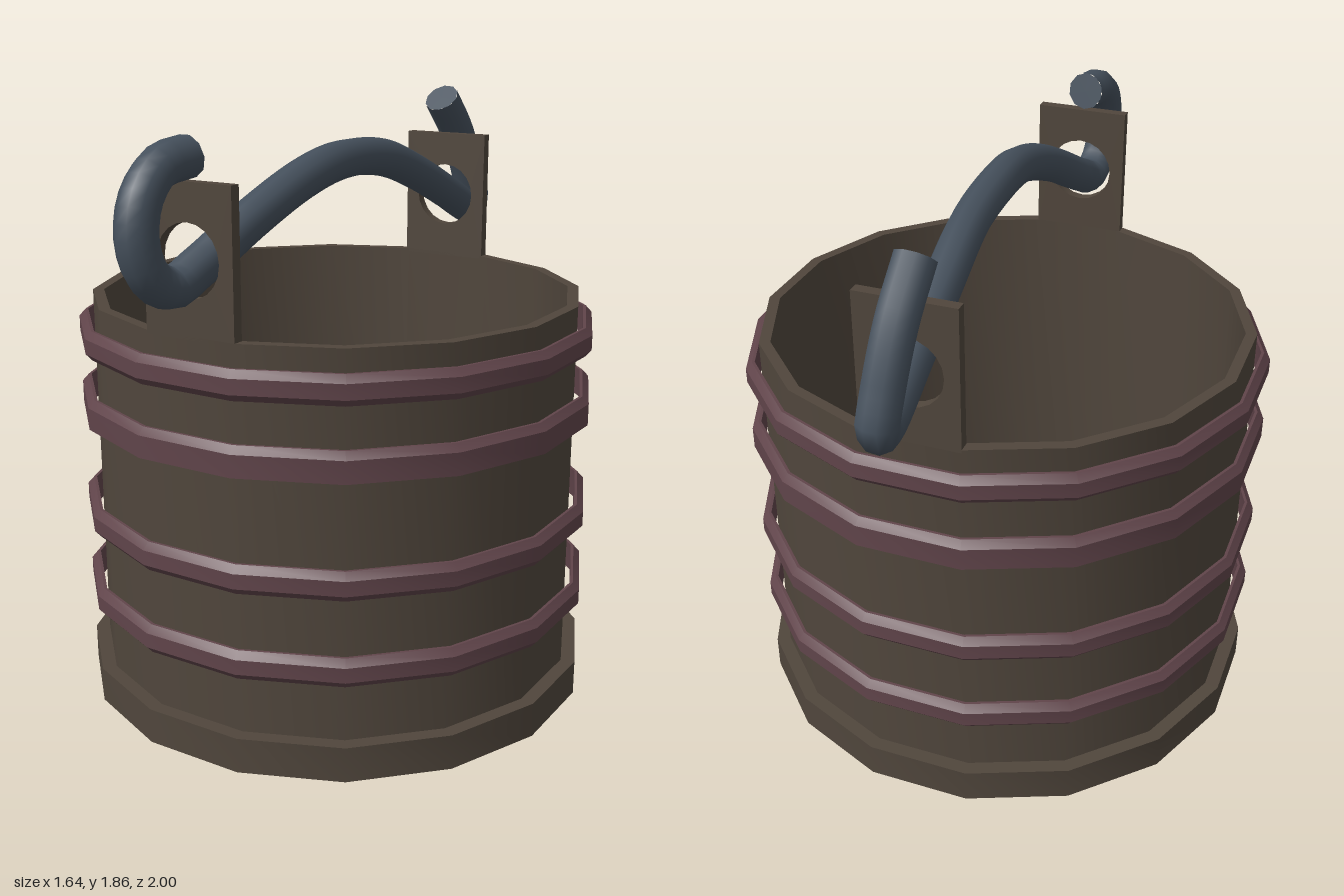
import * as THREE from 'three';
import { toCreasedNormals } from 'three/addons/utils/BufferGeometryUtils.js';

const SIDES = 16;
const wood = new THREE.MeshStandardMaterial({ color: 0x50463c });
const hoop = new THREE.MeshStandardMaterial({ color: 0x60444a });
const iron = new THREE.MeshStandardMaterial({ color: 0x45505c });

function add(parent, name, geometry, material) {
  const mesh = new THREE.Mesh(geometry, material);
  mesh.name = name;
  parent.add(mesh);
  return mesh;
}

// Sixteen-sided turned part, smooth around and sharp across its edges
function turned(profile) {
  const points = profile.map(([r, y]) => new THREE.Vector2(r, y));
  return toCreasedNormals(new THREE.LatheGeometry(points, SIDES), 0.5);
}

export function createModel() {
  const model = new THREE.Group();
  model.name = 'bucket';
  const tub = new THREE.Group();
  tub.name = 'tub';
  tub.position.z = 0.01;
  model.add(tub);

  // Foot, wall and inner floor in one profile
  add(tub, 'wall', turned([
    [0, 0], [0.82, 0], [0.82, 0.11], [0.775, 0.11], [0.775, 1.28],
    [0.74, 1.28], [0.74, 0.11], [0, 0.11],
  ]), wood);

  // Thin hoops standing slightly off the wall: [centre height, lower bevel]
  const bevel = 0.022;
  for (const [y, low] of [[0.34, bevel], [0.605, bevel], [0.957, 0], [1.172, bevel]]) {
    const h = 0.045;
    const lower = low ? [[0.802, y - h], [0.822, y - h + low]] : [[0.822, y - h]];
    add(tub, 'hoop', turned([
      [0.793, y - h], ...lower, [0.822, y + h - bevel], [0.802, y + h],
      [0.793, y + h], [0.793, y - h],
    ]), hoop);
  }

  // Two pierced lugs continuing opposite wall facets upward
  const half = 0.775 * Math.sin(Math.PI / SIDES);
  const thick = 0.035 * Math.cos(Math.PI / SIDES);
  const inner = 0.74 * Math.cos(Math.PI / SIDES);
  const plate = new THREE.Shape([
    new THREE.Vector2(-half, 1.27), new THREE.Vector2(half, 1.27),
    new THREE.Vector2(half, 1.705), new THREE.Vector2(-half, 1.705),
  ]);
  const hole = new THREE.Path();
  hole.absarc(0, 1.49, 0.106, 0, Math.PI * 2, true);
  plate.holes.push(hole);
  const lugShape = new THREE.ExtrudeGeometry(plate, { depth: thick, bevelEnabled: false, curveSegments: 10 });
  lugShape.translate(0, 0, inner);
  const lugGeometry = toCreasedNormals(lugShape, 0.7);
  for (const turn of [0, Math.PI]) {
    add(tub, 'lug', lugGeometry, wood).rotation.y = Math.PI / SIDES + turn;
  }

  // Bent iron handle, from the front hook over the arch to the back hook
  const path = new THREE.CatmullRomCurve3([
    [0.135, 1.77, 0.73], [0.145, 1.75, 0.84], [0.16, 1.67, 0.92],
    [0.168, 1.56, 0.94], [0.17, 1.47, 0.905], [0.165, 1.43, 0.83],
    [0.16, 1.47, 0.73], [0.155, 1.58, 0.52], [0.12, 1.665, 0.28],
    [0.06, 1.695, 0.05], [0, 1.675, -0.2], [-0.07, 1.6, -0.45],
    [-0.135, 1.5, -0.7], [-0.185, 1.42, -0.9], [-0.198, 1.435, -0.938],
    [-0.2, 1.55, -0.905], [-0.195, 1.7, -0.83], [-0.18, 1.825, -0.72],
  ].map((p) => new THREE.Vector3(...p)), false, 'centripetal');
  const handle = new THREE.Group();
  handle.name = 'handle';
  model.add(handle);
  const radius = 0.06;
  add(handle, 'bar', new THREE.TubeGeometry(path, 80, radius, 10), iron);

  // Flat ends of the bar
  for (const [t, out] of [[0, -1], [1, 1]]) {
    const cap = add(handle, 'barEnd', new THREE.CircleGeometry(radius, 10), iron);
    cap.position.copy(path.getPointAt(t));
    cap.quaternion.setFromUnitVectors(
      new THREE.Vector3(0, 0, 1), path.getTangentAt(t).multiplyScalar(out));
  }
  return model;
}
